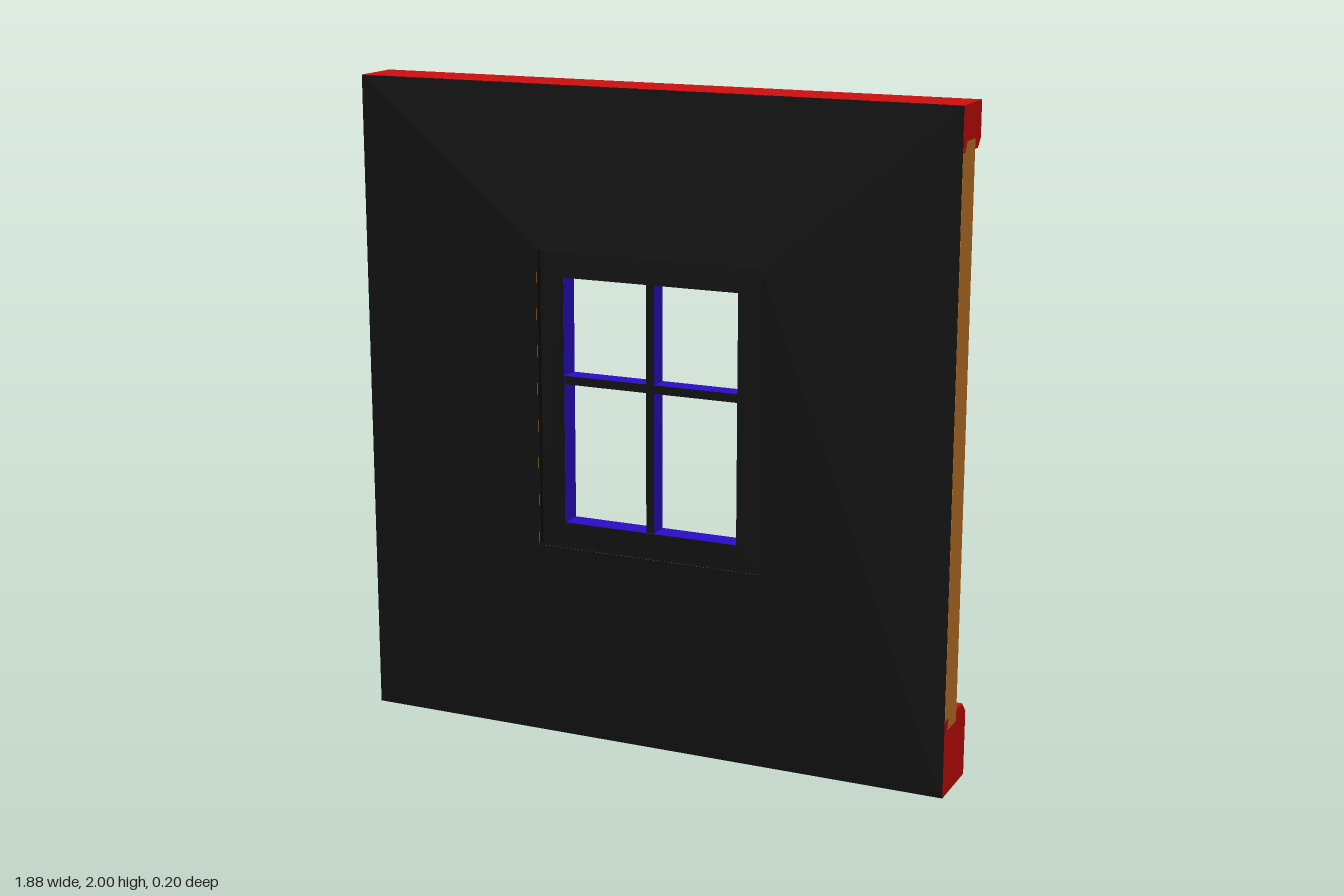
import * as THREE from 'three';

const mat = (color) => new THREE.MeshStandardMaterial({ color });

export function createModel() {
  const group = new THREE.Group();
  const black = mat(0x0d0d0d), red = mat(0xcc0d0d), ochre = mat(0xc67828), blue = mat(0x2a0cc4);
  const W = 1.88, H = 2, FRONT = 0.1;

  const add = (name, geometry, material, x = 0, y = 0, z = 0) => {
    const mesh = new THREE.Mesh(geometry, material);
    mesh.name = name;
    mesh.position.set(x, y, z);
    group.add(mesh);
    return mesh;
  };
  const trace = (path, x0, y0, x1, y1) =>
    path.moveTo(x0, y0).lineTo(x1, y0).lineTo(x1, y1).lineTo(x0, y1).closePath();
  // Rectangle with one rectangular hole
  const ring = (outer, hole) => {
    const shape = trace(new THREE.Shape(), ...outer);
    shape.holes.push(trace(new THREE.Path(), ...hole));
    return shape;
  };
  const slab = (shape, depth) => new THREE.ExtrudeGeometry(shape, { depth, bevelEnabled: false });

  // Wall with window opening, and the black facing over its whole front
  const recess = [-0.36, 0.6, 0.36, 1.51];
  const opening = [-0.28, 0.675, 0.28, 1.43];
  add('wall', slab(ring([-W / 2, 0.2, W / 2, 1.9], recess), 0.108), ochre, 0, 0, -0.01);
  add('frontFacing', new THREE.ShapeGeometry(ring([-W / 2, 0, W / 2, H], recess)), black, 0, 0, FRONT);

  // Base and cornice: chamfered profiles (u = -z, y) run along x
  const rail = (name, profile) => {
    const shape = new THREE.Shape(profile.map(([u, y]) => new THREE.Vector2(u, y)));
    add(name, slab(shape, W), red, -W / 2).rotation.y = Math.PI / 2;
  };
  rail('base', [[-0.099, 0], [0.1, 0], [0.1, 0.2], [0.065, 0.235], [-0.099, 0.235]]);
  rail('cornice', [[-0.099, 1.87], [0.035, 1.87], [0.06, 1.895], [0.06, H], [-0.099, H]]);

  // Black lining on the sides and bottom of the recess
  for (const s of [-1, 1]) {
    add('recessSide', new THREE.BoxGeometry(0.004, 0.91, 0.108), black, s * 0.358, 1.055, 0.045);
  }
  add('recessSill', new THREE.BoxGeometry(0.72, 0.004, 0.108), black, 0, 0.602, 0.045);

  // Window frame, blue behind and black in front
  const frame = ring(recess, opening);
  add('windowFrame', slab(frame, 0.068), blue, 0, 0, 0.011);
  add('windowFrameFront', new THREE.ShapeGeometry(frame), black, 0, 0, 0.081);

  // Glazing bars, slightly thinner than the frame
  const barMats = [blue, blue, blue, blue, black, blue];
  add('verticalBar', new THREE.BoxGeometry(0.026, 0.755, 0.06), barMats, 0, 1.0525, 0.046);
  for (const s of [-1, 1]) {
    add('horizontalBar', new THREE.BoxGeometry(0.267, 0.026, 0.06), barMats, s * 0.1465, 1.118, 0.046);
  }
  return group;
}
